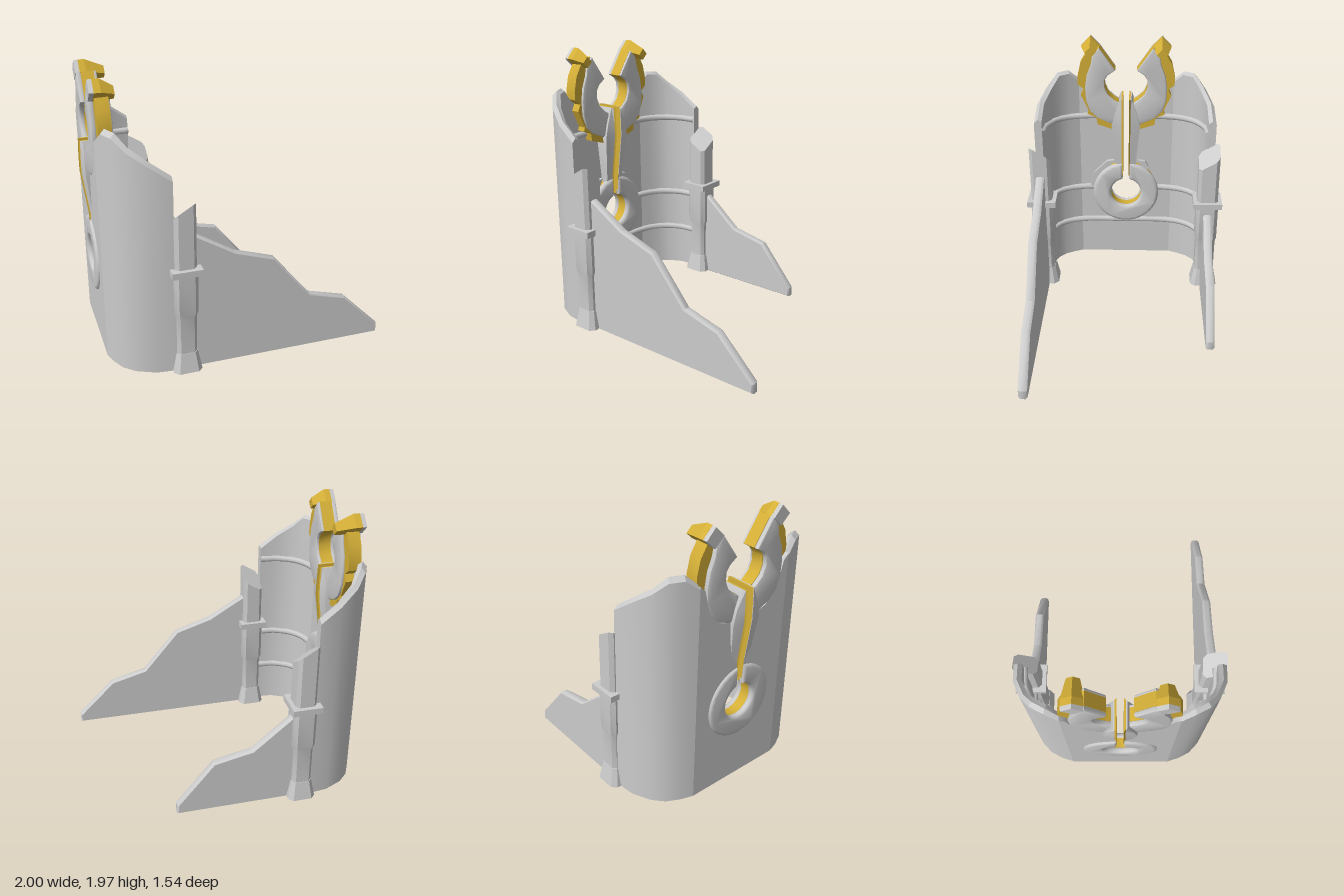
import * as THREE from 'three';
import { toCreasedNormals } from 'three/addons/utils/BufferGeometryUtils.js';

const grey = new THREE.MeshStandardMaterial({ color: 0xcccccc });
const yellow = new THREE.MeshStandardMaterial({ color: 0xd4af37 });

// swap two corners of every triangle
function flip(geo) {
  const p = geo.attributes.position;
  const a = new THREE.Vector3(), b = new THREE.Vector3();
  for (let i = 0; i < p.count; i += 3) {
    a.fromBufferAttribute(p, i);
    b.fromBufferAttribute(p, i + 2);
    p.setXYZ(i, b.x, b.y, b.z);
    p.setXYZ(i + 2, a.x, a.y, a.z);
  }
  return geo;
}

// closed skin through convex sections with equal point counts
function loft(sections) {
  const pos = [], n = sections[0].length, last = sections.length - 1;
  const tri = (a, b, c) => pos.push(...a, ...b, ...c);
  for (let s = 0; s < last; s++) {
    for (let i = 0; i < n; i++) {
      const j = (i + 1) % n, A = sections[s], B = sections[s + 1];
      tri(A[i], A[j], B[j]);
      tri(A[i], B[j], B[i]);
    }
  }
  for (let i = 1; i < n - 1; i++) {
    tri(sections[0][0], sections[0][i + 1], sections[0][i]);
    tri(sections[last][0], sections[last][i], sections[last][i + 1]);
  }
  const geo = new THREE.BufferGeometry();
  geo.setAttribute('position', new THREE.Float32BufferAttribute(pos, 3));
  // face outward: the enclosed volume must be positive
  let volume = 0;
  const v = [0, 1, 2].map(() => new THREE.Vector3());
  for (let i = 0; i < pos.length / 3; i += 3) {
    v.forEach((q, k) => q.fromBufferAttribute(geo.attributes.position, i + k));
    volume += v[0].dot(v[1].clone().cross(v[2]));
  }
  return volume < 0 ? flip(geo) : geo;
}

const polygon = (points) => new THREE.Shape(points.map(([u, v]) => new THREE.Vector2(u, v)));

// shape in (z, y), thick from x0 to x1
function slab(shape, x0, x1, bevel = 0) {
  const t = Math.min(bevel, (x1 - x0) * 0.45);
  return new THREE.ExtrudeGeometry(shape, {
    depth: x1 - x0 - 2 * t, bevelEnabled: bevel > 0, bevelThickness: t, bevelSize: bevel,
    bevelOffset: -bevel, bevelSegments: 2, curveSegments: 28,
  }).rotateY(-Math.PI / 2).translate(x1 - t, 0, 0);
}

export function createModel() {
  const model = new THREE.Group();
  const add = (name, geo, mat = grey, crease = 0.6) => {
    const g = geo.index ? geo.toNonIndexed() : geo;
    g.deleteAttribute('uv');
    g.deleteAttribute('normal');
    const mesh = new THREE.Mesh(toCreasedNormals(g, crease), mat);
    mesh.name = name;
    model.add(mesh);
  };
  const addPair = (name, geo, mat, crease) => {
    const g = geo.index ? geo.toNonIndexed() : geo;
    add(name + 'Left', g.clone(), mat, crease);
    add(name + 'Right', flip(g.clone().scale(1, 1, -1)), mat, crease);
  };

  // curved side walls: outer x, outer z, inner x, inner z, top height
  const plan = [
    [-0.95, 0.38, -0.895, 0.38, 1.62], [-0.922, 0.47, -0.865, 0.45, 1.695],
    [-0.875, 0.56, -0.825, 0.525, 1.69], [-0.8, 0.63, -0.77, 0.58, 1.61],
    [-0.67, 0.69, -0.66, 0.635, 1.52], [-0.53, 0.705, -0.53, 0.645, 1.42],
  ];
  addPair('sideWall', loft(plan.map(([ox, oz, ix, iz, top]) => [
    [ox, 0.01, oz], [ox, top - 0.03, oz], [(ox + ix) / 2, top, (oz + iz) / 2],
    [ix, top - 0.02, iz], [ix, 0.01, iz],
  ])));

  // back wall with keyhole slot
  const edge = [[0.38, 0.01], [0.38, 1.61], [0.34, 1.57], [0.3, 1.42], [0.2, 1.3], [0.03, 1.25]];
  const back = polygon(edge);
  back.absarc(0, 0.645, 0.138, Math.PI / 2 - 0.22, Math.PI / 2 + 0.22, true);
  [...edge].reverse().forEach(([z, y]) => back.lineTo(-z, y));
  add('backWall', slab(back, -0.95, -0.895));

  // rails along the inside of the wall
  for (const [y, start] of [[1.31, 0.05], [0.66, 0.2], [0.34, 0]]) {
    const path = new THREE.CatmullRomCurve3(
      [[-0.895, start], [-0.895, 0.3], ...plan.slice(1).map((p) => [p[2], p[3]])]
        .map(([x, z]) => new THREE.Vector3(x, y, z)));
    addPair('wallRail', new THREE.TubeGeometry(path, 28, 0.025, 8), grey, 1);
  }

  // pillars: chamfered square sections of height, half width x, half width z
  const square = (y, hx, hz, slope = 0) => {
    const c = 0.68;
    return [[1, c], [c, 1], [-c, 1], [-1, c], [-1, -c], [-c, -1], [c, -1], [1, -c]]
      .map(([x, z]) => [x * hx, y + slope * (0.045 * x + 0.05 * z), z * hz]);
  };
  const pillarParts = {
    pillarFoot: () => loft([square(0.01, 0.1, 0.107), square(0.15, 0.074, 0.08)]),
    pillarShaft: () => loft([square(0.15, 0.07, 0.077), square(0.42, 0.07, 0.077),
      square(0.46, 0.082, 0.086), square(0.76, 0.082, 0.086)]),
    pillarCollar: () => new THREE.BoxGeometry(0.21, 0.045, 0.225).translate(0, 0.765, 0),
    pillarTop: () => loft([square(0.77, 0.074, 0.081), square(1.07, 0.074, 0.081), square(1.155, 0.074, 0.081, 1)]),
  };
  for (const side of [1, -1]) {
    for (const [name, make] of Object.entries(pillarParts)) {
      const geo = make();
      if (side < 0) geo.rotateY(Math.PI);
      add(name + (side > 0 ? 'Left' : 'Right'), geo.translate(-0.46, 0, side * 0.658), grey, 0.5);
    }
  }

  // stepped fins, long on the left and short on the right
  const fin = (name, points, z) => add(name, new THREE.ExtrudeGeometry(polygon(points), {
    depth: 0.035, bevelThickness: 0.015, bevelSize: 0.01, bevelOffset: -0.01, bevelSegments: 1,
  }).translate(0, 0, z - 0.0175));
  fin('longFin', [[-0.42, 0], [1, 0], [1, 0.07], [0.72, 0.345], [0.445, 0.42], [0.17, 0.745],
    [-0.11, 0.835], [-0.385, 1.0], [-0.42, 1.0]], 0.66);
  fin('shortFin', [[-0.42, 0], [0.445, 0], [0.445, 0.07], [0.18, 0.39], [-0.1, 0.45],
    [-0.385, 0.69], [-0.42, 0.69]], -0.66);

  // lower clasp ring, open at the top
  const ring = (r, hole) => {
    const up = Math.PI / 2, s = new THREE.Shape();
    const a = Math.asin(0.027 / r), b = Math.asin(0.027 / hole);
    s.absarc(0, 0.64, r, up - a, up + a - Math.PI * 2, true);
    s.absarc(0, 0.64, hole, up + b - Math.PI * 2, up - b, false);
    return s;
  };
  add('ringCore', slab(ring(0.262, 0.13), -0.925, -0.85), yellow);
  add('ringBack', slab(ring(0.27, 0.125), -0.967, -0.915, 0.02), grey, 0.9);
  add('ringFront', slab(ring(0.275, 0.125), -0.865, -0.81, 0.025), grey, 0.9);
  add('ringLugLeft', slab(polygon([[0.24, 0.68], [0.3, 0.68], [0.27, 0.8], [0.16, 0.91], [0.1, 0.92]]), -0.905, -0.865));
  add('ringLugRight', slab(polygon([[-0.1, 0.92], [-0.16, 0.91], [-0.19, 0.86], [-0.15, 0.8]]), -0.905, -0.865));

  // clasp stems: height, half depth, outer z
  const stem = [[0.8, 0.06, 0.085], [0.95, 0.07, 0.085], [1.26, 0.112, 0.115], [1.37, 0.112, 0.088], [1.49, 0.108, 0.045]];
  const bar = (z0, grow, outer) => loft(stem.map(([y, h, z]) => {
    const w = h + grow, z1 = outer ?? z;
    return [[-0.885 - w, y, z0], [-0.885 + w, y, z0], [-0.885 + w * 0.85, y, z1], [-0.885 - w * 0.85, y, z1]];
  }));
  addPair('claspStem', bar(0.036, -0.004), grey, 0.4);
  addPair('claspStemInlay', bar(0.024, 0.002, 0.037), yellow, 0.4);

  // upper clasp horns: yellow core between grey plates
  const inner = [[0.035, 1.44], [0.09, 1.47], [0.145, 1.52], [0.17, 1.58], [0.17, 1.64], [0.145, 1.68], [0.085, 1.72]];
  const plate = polygon([...inner, [0.21, 1.9], [0.265, 1.84], [0.275, 1.77], [0.31, 1.68], [0.325, 1.58],
    [0.32, 1.47], [0.29, 1.38], [0.23, 1.32], [0.12, 1.27], [0.035, 1.3]]);
  const core = polygon([...inner, [0.21, 1.9], [0.3, 1.87], [0.36, 1.77], [0.385, 1.66], [0.383, 1.6], [0.335, 1.56],
    [0.36, 1.51], [0.3, 1.38], [0.31, 1.35], [0.24, 1.32], [0.23, 1.26], [0.11, 1.22], [0.035, 1.28]]);
  addPair('hornCore', slab(core, -0.92, -0.83), yellow);
  addPair('hornBack', slab(plate, -0.955, -0.915, 0.015), grey, 0.7);
  addPair('hornFront', slab(plate, -0.84, -0.81, 0.015), grey, 0.7);

  // horn tips, tapering forward
  const tip = (x, size, y) => [[0, 0.075], [0.073, 0], [0, -0.07], [-0.073, 0]]
    .map(([z, dy]) => [x, y + dy * size, 0.28 + z * size]);
  const hornTip = (end) => loft([tip(-0.925, 1, 1.893), tip(-0.88, 1, 1.893), tip(end, 0.58, 1.87)]);
  add('hornTipLeft', hornTip(-0.79), yellow, 0.2);
  add('hornTipRight', flip(hornTip(-0.75).scale(1, 1, -1)), yellow, 0.2);
  addPair('hornTipBack', loft([tip(-0.955, 0.95, 1.893), tip(-0.92, 1, 1.893)]), grey, 0.2);

  return model;
}
